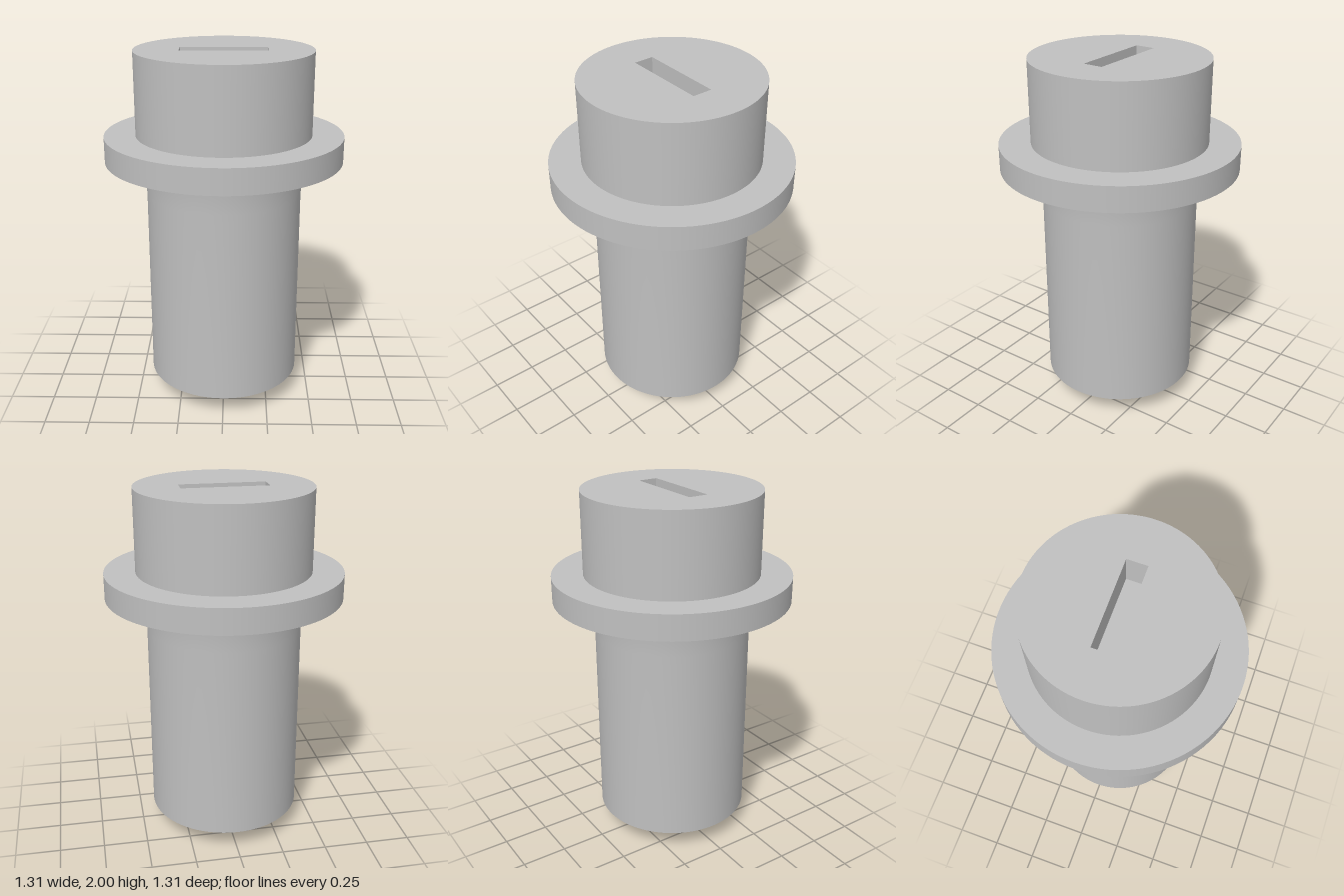
import * as THREE from 'three';
import { mergeGeometries } from 'three/addons/utils/BufferGeometryUtils.js';

const SEGMENTS = 96;
const HEAD_R = 0.483, FLANGE_R = 0.655, BODY_R = 0.43, NECK_R = 0.455;
const FLANGE_BOTTOM = 1.405, FLANGE_TOP = 1.545, TOP = 2;
const SLOT = { width: 0.474, length: 0.11, depth: 0.2 };

// Each profile is smooth within itself; edges between profiles stay sharp.
function turned(...profiles) {
  return mergeGeometries(profiles.map((p) =>
    new THREE.LatheGeometry(p.map(([r, y]) => new THREE.Vector2(r, y)), SEGMENTS)));
}

// Flat head face with the slot opening cut out
function slottedFace() {
  const shape = new THREE.Shape().absarc(0, 0, HEAD_R, 0, Math.PI * 2, false);
  const w = SLOT.width / 2, l = SLOT.length / 2;
  shape.holes.push(new THREE.Path([[-w, -l], [-w, l], [w, l], [w, -l]]
    .map(([x, y]) => new THREE.Vector2(x, y))));
  return new THREE.ShapeGeometry(shape, SEGMENTS).rotateX(-Math.PI / 2).translate(0, TOP, 0);
}

// Inward-facing box without its lid
function pocket() {
  const geo = new THREE.BoxGeometry(SLOT.width, SLOT.depth, SLOT.length);
  const index = Array.from(geo.index.array);
  index.splice(12, 6);
  geo.setIndex(index.reverse());
  geo.clearGroups();
  const normal = geo.attributes.normal;
  for (let i = 0; i < normal.count; i++) {
    normal.setXYZ(i, -normal.getX(i), -normal.getY(i), -normal.getZ(i));
  }
  return geo.translate(0, TOP - SLOT.depth / 2, 0);
}

export function createModel() {
  const group = new THREE.Group();
  group.name = 'slottedPlug';
  const steel = new THREE.MeshStandardMaterial({ color: 0xc0c0c0 });
  steel.name = 'grey metal';

  const add = (name, geometry) => {
    const mesh = new THREE.Mesh(geometry, steel);
    mesh.name = name;
    group.add(mesh);
  };

  add('chamferedTip', turned(
    [[0, 0], [0.24, 0]],
    [[0.24, 0], [BODY_R, 0.12]]));
  // Straight shank flaring gently under the flange
  add('shank', turned(
    [[BODY_R, 0.12], [BODY_R, 1.22], [NECK_R, FLANGE_BOTTOM]]));
  add('flange', turned(
    [[NECK_R, FLANGE_BOTTOM], [FLANGE_R, FLANGE_BOTTOM]],
    [[FLANGE_R, FLANGE_BOTTOM], [FLANGE_R, FLANGE_TOP]],
    [[FLANGE_R, FLANGE_TOP], [HEAD_R, FLANGE_TOP]]));
  add('headSide', turned([[HEAD_R, FLANGE_TOP], [HEAD_R, TOP]]));
  add('headFace', slottedFace());
  add('slot', pocket());
  return group;
}
